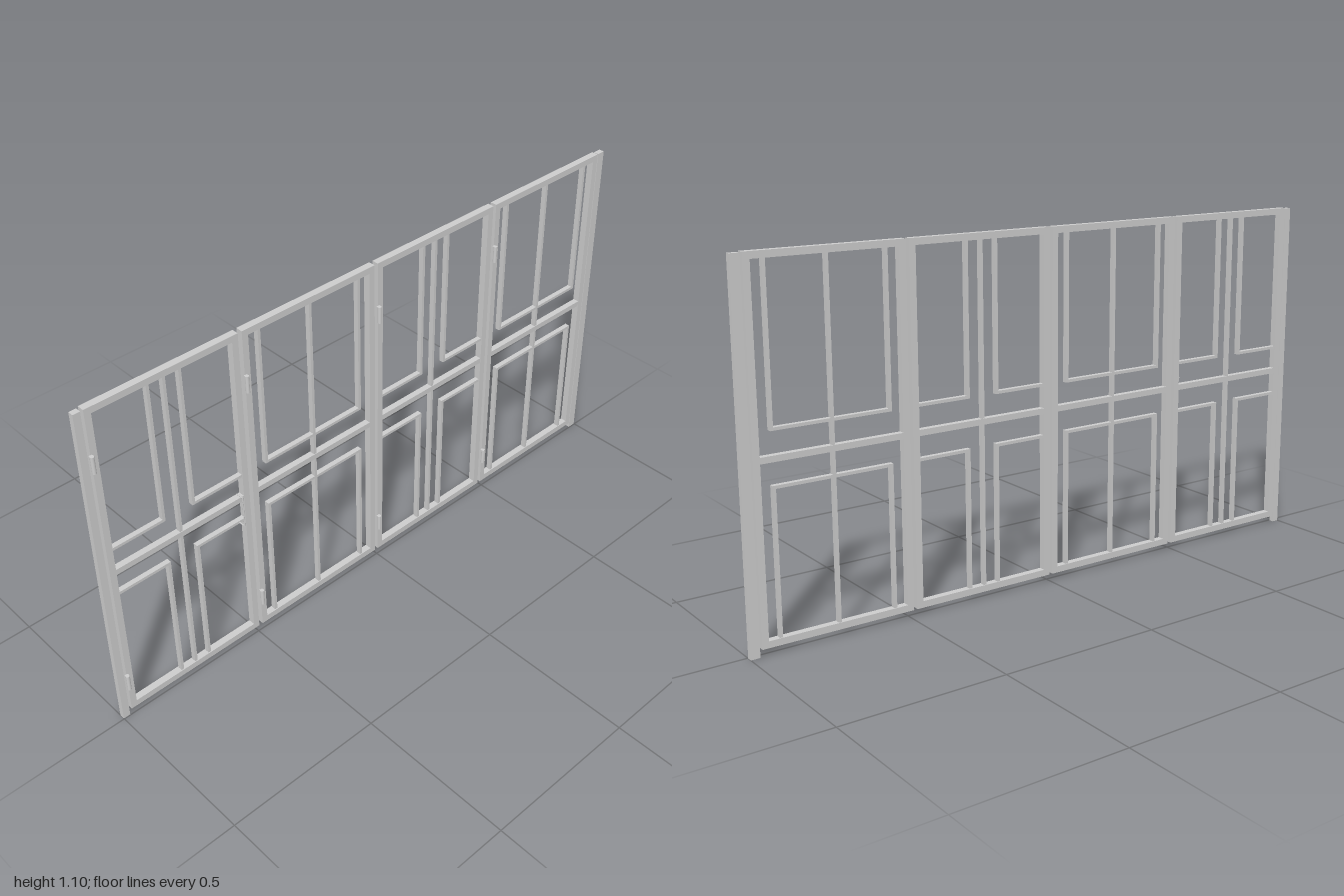
import * as THREE from 'three';

const material = new THREE.MeshStandardMaterial({ color: 0xcccccc });

// Box given by its limits on each axis
function bar(parent, name, x0, x1, y0, y1, z0, z1) {
  const mesh = new THREE.Mesh(new THREE.BoxGeometry(x1 - x0, y1 - y0, z1 - z0), material);
  mesh.name = name;
  mesh.position.set((x0 + x1) / 2, (y0 + y1) / 2, (z0 + z1) / 2);
  parent.add(mesh);
}

const HALF = 0.2375, BOTTOM = 0.022, TOP = 1.096; // leaf outline
const FRAME = 0.02, BACK = -0.021, FRONT = 0.001; // frame section
const T = 0.0045; // half width of the thin bars
const BAR_BACK = -0.018, BAR_FRONT = -0.002;
const UPPER = 0.626, LOWER = 0.467, MIDDLE = 0.546; // heights of the cross bars

function createLeaf(centreX, paired) {
  const leaf = new THREE.Group();
  leaf.name = 'gateLeaf';
  leaf.position.x = centreX;
  const inner = HALF - FRAME;
  const thin = (name, x0, x1, y0, y1) => bar(leaf, name, x0, x1, y0, y1, BAR_BACK, BAR_FRONT);

  // Outer frame
  for (const s of [-1, 1]) {
    const x = s * (HALF - FRAME / 2);
    bar(leaf, 'stile', x - FRAME / 2, x + FRAME / 2, BOTTOM, TOP, BACK, FRONT);
  }
  bar(leaf, 'bottomRail', -inner, inner, BOTTOM, BOTTOM + FRAME, BACK, FRONT);
  bar(leaf, 'topRail', -inner, inner, TOP - FRAME, TOP, BACK, FRONT);
  bar(leaf, 'middleRail', -inner, inner, MIDDLE - 0.009, MIDDLE + 0.009, -0.02, 0);
  thin('centreBar', -T, T, BOTTOM + FRAME, TOP - FRAME);

  // Decorative bars: corner pairs beside the centre, or one wide bay
  const offset = paired ? 0.05 : 0.179;
  for (const y of [LOWER, UPPER]) {
    const y0 = y === LOWER ? BOTTOM + FRAME : UPPER - T;
    const y1 = y === LOWER ? LOWER + T : TOP - FRAME;
    for (const s of [-1, 1]) {
      thin('uprightBar', s * offset - T, s * offset + T, y0, y1);
    }
    if (paired) {
      thin('crossBar', -inner, -offset - T, y - T, y + T);
      thin('crossBar', offset + T, inner, y - T, y + T);
    } else {
      thin('crossBar', -offset + T, offset - T, y - T, y + T);
    }
  }
  return leaf;
}

export function createModel() {
  const model = new THREE.Group();
  model.name = 'foldingGate';

  // Four folding leaves
  [-0.734, -0.246, 0.241, 0.728].forEach((x, i) => model.add(createLeaf(x, i % 2 === 0)));

  // End posts
  bar(model, 'endPost', -1, -0.978, 0, 1.094, -0.019, -0.002);
  bar(model, 'endPost', 0.972, 1, 0, 1.094, -0.019, -0.002);

  // Hinges at each joint
  for (const x of [-0.972, -0.482, 0.004, 0.49]) {
    for (const y of [0.139, 0.93]) {
      const hinge = new THREE.Mesh(new THREE.CylinderGeometry(0.006, 0.006, 0.054, 16), material);
      hinge.name = 'hinge';
      hinge.position.set(x, y, 0.008);
      model.add(hinge);
      bar(model, 'hingePlate', x - 0.005, x + 0.005, y - 0.027, y + 0.027, 0, 0.008);
    }
  }

  // Pull handle
  const path = new THREE.CurvePath();
  const points = [[0.467, -0.003], [0.467, 0.021], [0.572, 0.021], [0.572, -0.003]]
    .map(([y, z]) => new THREE.Vector3(-0.537, y, z));
  for (let i = 0; i < 3; i++) path.add(new THREE.LineCurve3(points[i], points[i + 1]));
  const handle = new THREE.Mesh(new THREE.TubeGeometry(path, 80, 0.002, 8), material);
  handle.name = 'handle';
  model.add(handle);

  return model;
}
